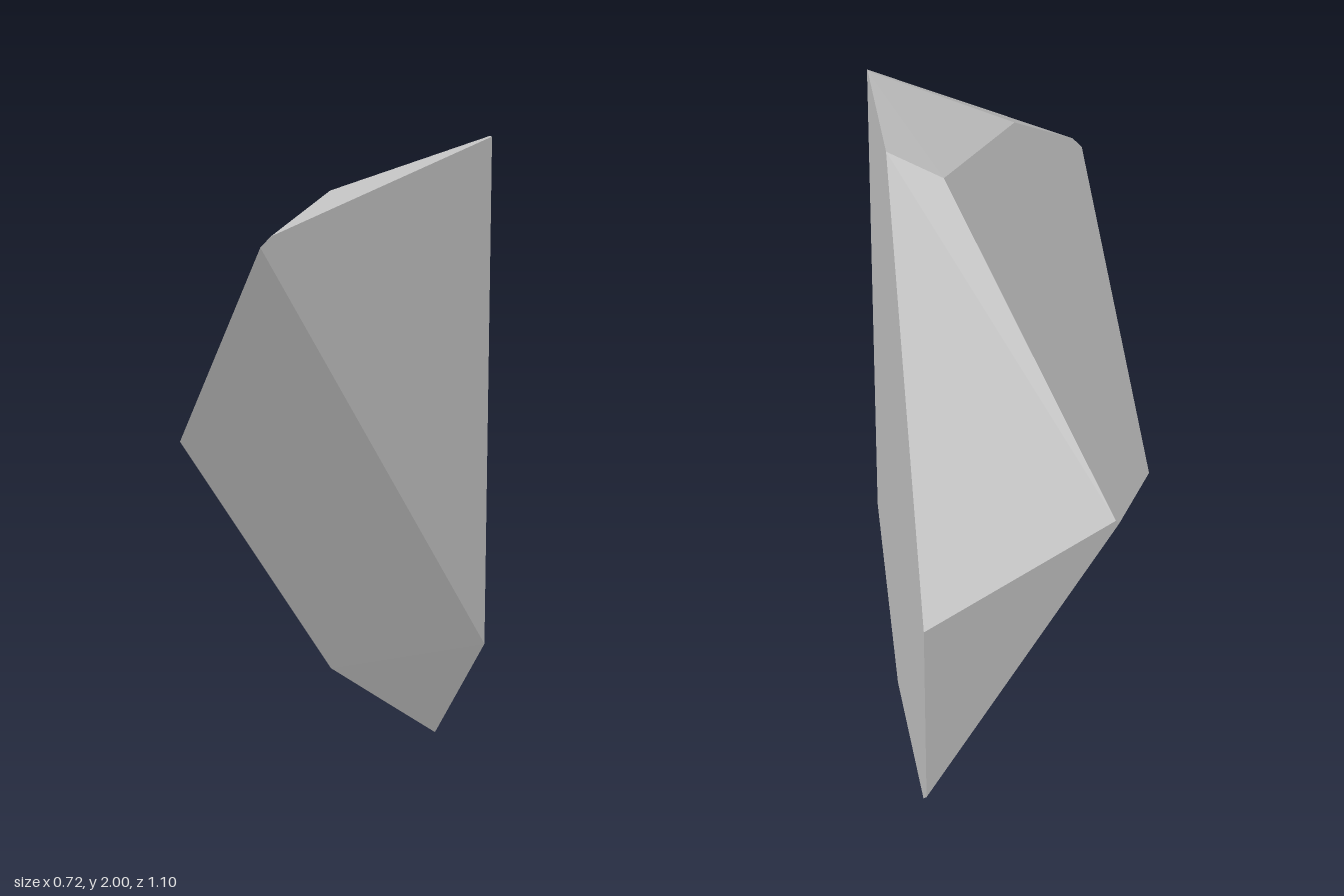
import * as THREE from 'three';
import { ConvexGeometry } from 'three/addons/geometries/ConvexGeometry.js';

export function createModel() {
  const group = new THREE.Group();
  group.name = 'stoneShard';

  const stone = new THREE.MeshStandardMaterial({ color: 0xbcbcbc });
  stone.name = 'grey stone';

  // Corners of the convex shard, grouped by the flat side they lie on
  const corners = [
    // straight right-hand side
    [0.36, 2.0, 0.55], [0.36, 2.0, 0.53], [0.36, 1.88, 0.11], [0.36, 0.62, -0.55],
    [0.36, 0.05, -0.55], [0.36, 0.0, -0.48], [0.36, 0.075, 0.1], [0.36, 0.5, 0.55],
    // front side
    [-0.29, 1.74, 0.55], [-0.32, 1.71, 0.55],
    // back side
    [-0.21, 0.937, -0.55], [-0.22, 0.927, -0.55],
    // chipped corners: top, upper back, left, underside
    [-0.08, 1.846, 0.42], [0.2, 1.815, 0.03], [-0.36, 0.97, -0.32], [0.11, 0.21, -0.22],
  ].map((c) => new THREE.Vector3(...c));

  const shard = new THREE.Mesh(new ConvexGeometry(corners), stone);
  shard.name = 'shard';
  group.add(shard);
  return group;
}
